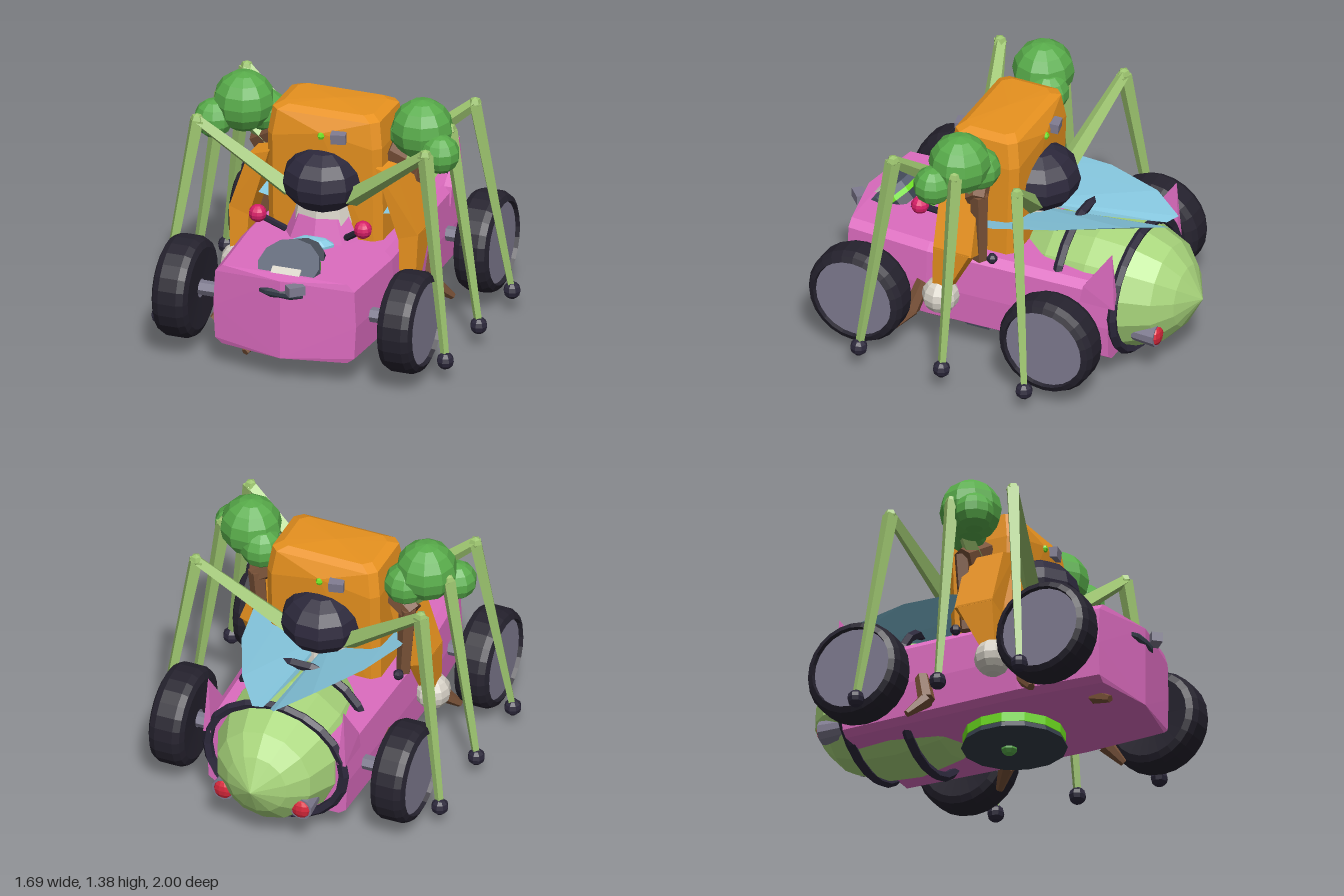
import * as THREE from 'three';
import { ConvexGeometry } from 'three/addons/geometries/ConvexGeometry.js';

const C = {
  pink: 0xdd6cc0, orange: 0xe8921f, green: 0x59ad4b, lime: 0xa9d67c, leg: 0x9dc56f, dark: 0x2c283b,
  tyre: 0x25222e, grey: 0x7f7b90, blue: 0x86c8e0, brown: 0x7a5238, white: 0xd6d1c6,
  magenta: 0xd81f68, red: 0xd8283c, neon: 0x6fe020, slate: 0x555d70, plate: 0x333b48,
};
const mats = {};
const mat = (c) => (mats[c] ??= new THREE.MeshStandardMaterial({ color: C[c], flatShading: true, side: THREE.DoubleSide }));
const V = (x, y, z) => new THREE.Vector3(x, y, z);

export function createModel() {
  const root = new THREE.Group();
  root.name = 'insectRacer';

  const add = (name, geo, color, pos = [0, 0, 0], rot = [0, 0, 0], scale = [1, 1, 1], parent = root) => {
    const m = new THREE.Mesh(geo, mat(color));
    m.name = name;
    m.position.set(...pos);
    m.rotation.set(...rot);
    m.scale.set(...scale);
    parent.add(m);
    return m;
  };
  const box = (w, h, d) => new THREE.BoxGeometry(w, h, d);
  const ball = (r, n = 10, k = 7) => new THREE.SphereGeometry(r, n, k);
  const disc = (r, h, n = 12, r2 = r) => new THREE.CylinderGeometry(r, r2, h, n);
  const hull = (name, pts, color) => add(name, new ConvexGeometry(pts.map((p) => V(...p))), color);

  // Tapered straight piece from a to b
  const limb = (name, a, b, ra, rb, color, sides = 4) => {
    const A = V(...a), B = V(...b), d = B.clone().sub(A);
    const m = add(name, new THREE.CylinderGeometry(rb, ra, d.length(), sides), color);
    m.position.copy(A).add(B).multiplyScalar(0.5);
    m.quaternion.setFromUnitVectors(V(0, 1, 0), d.normalize());
    return m;
  };

  // Chassis: octagonal sections [z, half-width, grow], plus a pointed nose
  const body = [];
  for (const [z, w] of [[0.87, 0.40], [0.4, 0.43], [-0.64, 0.40]])
    for (const s of [-1, 1])
      body.push([s * (w - 0.05), 0.61, z], [s * (w - 0.01), 0.57, z], [s * w, 0.37, z], [s * (w - 0.01), 0.19, z], [s * (w - 0.05), 0.16, z]);
  body.push([0, 0.6, 0.94], [0, 0.16, 0.94]);
  hull('chassis', body, 'pink');

  // Abdomen turned along z, with two hoops
  const abdomen = [[0, 0.05], [0.2, 0], [0.31, -0.2], [0.355, -0.45], [0.34, -0.65], [0.27, -0.82], [0.17, -0.91], [0, -1]]
    .map(([r, z]) => new THREE.Vector2(r, -z));
  add('abdomen', new THREE.LatheGeometry(abdomen, 14), 'lime', [0, 0.425, 0], [-Math.PI / 2, 0, 0]);
  add('rearHoop', new THREE.TorusGeometry(0.36, 0.027, 5, 22), 'dark', [0, 0.425, -0.66], [0, 0, 0], [1.08, 0.94, 1]);
  add('frontHoop', new THREE.TorusGeometry(0.38, 0.027, 5, 22), 'dark', [0, 0.425, -0.32]);

  // Tower with a tapered, slightly domed cap
  const tower = [];
  for (const [y, w, f, b] of [[0.55, 0.32, 0.31, -0.05], [1.14, 0.32, 0.33, -0.07], [1.28, 0.3, 0.31, -0.05], [1.305, 0.25, 0.27, -0.01]])
    for (const s of [-1, 1])
      tower.push([s * w, y, f - 0.04], [s * w, y, b + 0.04], [s * (w - 0.04), y, f], [s * (w - 0.04), y, b]);
  tower.push([0, 1.2, 0.35], [0, 1.2, -0.09], [0, 1.315, 0.13]);
  hull('tower', tower, 'orange');

  // Both tower faces: dark dome, collar, light and gauge box
  for (const f of [1, -1]) {
    const face = new THREE.Group();
    face.name = f > 0 ? 'frontFace' : 'rearFace';
    face.position.z = 0.13;
    face.rotation.y = f > 0 ? 0 : Math.PI;
    root.add(face);
    add('dome', ball(0.22, 10, 8), 'dark', [0, 0.93, 0.18], [0, 0, 0], [1, 0.8, 1], face);
    add('collar', disc(0.15, 0.13, 8, 0.18), 'white', [0, 0.77, 0.16], [0, 0, 0], [1, 1, 0.75], face);
    add('faceLight', ball(0.022, 6, 4), 'neon', [0, 1.185, 0.215], [0, 0, 0], [1, 1, 1], face);
    add('gauge', box(0.08, 0.055, 0.07), 'grey', [0.1, 1.195, 0.215], [0.1, 0.2, 0], [1, 1, 1], face);
  }
  add('seat', disc(0.15, 0.14, 8, 0.21), 'pink', [0, 0.67, 0.33], [0, 0, 0], [1, 1, 0.6]);
  add('windscreen', ball(0.12, 8, 5), 'blue', [0, 0.61, 0.45], [0, 0, 0], [1, 0.35, 0.6]);

  // Tilted hood stack: layered slate and glowing discs
  const hood = new THREE.Group();
  hood.name = 'hoodStack';
  hood.position.set(0, 0.6, 0.78);
  hood.rotation.x = 0.7;
  root.add(hood);
  [[0.17, 0.04, 0.035, 'slate'], [0.165, 0.03, 0, 'neon'], [0.155, 0.05, -0.04, 'plate']]
    .forEach(([r, h, y, c]) => add('hoodDisc', disc(r, h), c, [0, y, 0], [0, 0, 0], [1, 1, 0.92], hood));
  add('hoodLabelPlate', box(0.16, 0.02, 0.1), 'white', [0, 0.055, 0.07], [0, 0, 0], [1, 1, 1], hood);
  add('rearHoodDisc', disc(0.13, 0.04), 'plate', [0, 0.59, 0.63], [0.6, 0, 0]);
  add('rearHoodGlow', disc(0.11, 0.04), 'neon', [0, 0.59, 0.6], [0.6, 0, 0]);
  add('noseVent', ball(0.13, 8, 5), 'plate', [0, 0.525, 0.92], [0, 0, 0], [1, 0.25, 0.2]);
  add('noseBox', box(0.09, 0.05, 0.06), 'grey', [0.09, 0.57, 0.95], [0, 0.75, 0]);

  // Underside disc
  add('bellyGlow', disc(0.27, 0.05, 14), 'neon', [0, 0.135, 0.17]);
  add('bellyPlate', disc(0.26, 0.045, 14, 0.28), 'plate', [0, 0.1, 0.17]);
  add('bellyLamp', ball(0.045, 8, 5), 'green', [0, 0.08, 0.14], [0, 0, 0], [1, 0.9, 1]);
  limb('noseClaw', [-0.2, 0.17, 0.74], [-0.23, 0.12, 0.85], 0.04, 0.02, 'brown', 5);

  // Tyre profile: radius, offset along the axle
  const tyreProfile = [[0.05, -0.09], [0.22, -0.1], [0.255, -0.085], [0.272, -0.05], [0.272, 0.05], [0.255, 0.085], [0.225, 0.1], [0.215, 0.06]]
    .map(([r, a]) => new THREE.Vector2(r, a));
  const tyreGeo = new THREE.LatheGeometry(tyreProfile, 24);

  for (const s of [-1, 1]) {
    // Wheels and axles
    for (const z of [0.685, -0.42]) {
      const wheel = new THREE.Group();
      wheel.name = 'wheel';
      wheel.position.set(s * 0.63, 0.368, z);
      wheel.rotation.z = -s * Math.PI / 2;
      root.add(wheel);
      add('tyre', tyreGeo, 'tyre', [0, 0, 0], [0, 0, 0], [1, 1, 1], wheel);
      add('hub', disc(0.222, 0.13, 24), 'grey', [0, 0.012, 0], [0, 0, 0], [1, 1, 1], wheel);
      limb('axle', [s * 0.35, 0.368, z - 0.01], [s * 0.56, 0.368, z - 0.01], 0.04, 0.04, 'grey', 6);
    }

    // Three jointed legs: hip, knee, foot
    [[[0.17, 0.86, 0.36], 0.49, 0.61], [[0.36, 1.0, 0.13], 0.13, 0.13], [[0.17, 0.86, -0.1], -0.23, -0.35]].forEach(([hip, kz, fz]) => {
      const knee = [s * 0.64, 1.235, kz], foot = [s * 0.8, 0.14, fz];
      limb('upperLeg', [s * hip[0], hip[1], hip[2]], knee, 0.052, 0.032, 'leg');
      add('knee', ball(0.036, 5, 4), 'leg', knee);
      limb('lowerLeg', knee, foot, 0.042, 0.022, 'leg');
      add('foot', ball(0.047, 8, 6), 'dark', foot);
    });

    // Shoulder foliage clusters
    add('bush', ball(0.165, 10, 8), 'green', [s * 0.5, 1.235, 0.17]);
    add('outerBush', ball(0.105, 10, 7), 'green', [s * 0.635, 1.15, 0.26]);
    add('innerBush', ball(0.115, 10, 7), 'green', [s * 0.41, 1.17, 0.1]);

    // Arm with round fist
    limb('shoulder', [s * 0.3, 1.08, 0.15], [s * 0.45, 0.99, 0.1], 0.07, 0.06, 'brown', 6);
    limb('brownStrut', [s * 0.43, 1.02, 0.09], [s * 0.4, 0.6, 0.1], 0.05, 0.04, 'brown', 5);
    hull('upperArm', [0.11, 0.33].flatMap((z) => [[s * 0.3, 1.04, z], [s * 0.42, 1.0, z - 0.01], [s * 0.53, 0.68, z - 0.02], [s * 0.42, 0.64, z - 0.02]]), 'orange');
    hull('forearm', [[s * 0.53, 0.69, 0.1], [s * 0.53, 0.69, 0.31], [s * 0.42, 0.66, 0.1], [s * 0.42, 0.66, 0.31],
      [s * 0.52, 0.44, 0.23], [s * 0.52, 0.44, 0.32], [s * 0.43, 0.42, 0.23], [s * 0.43, 0.42, 0.32]], 'orange');
    add('fist', ball(0.1, 10, 8), 'white', [s * 0.48, 0.37, 0.29]);

    // Curved claws low on the flanks
    for (const z of [0.45, -0.13]) {
      const mid = [s * 0.46, 0.22, z + 0.02], end = [s * 0.53, 0.13, z + (z > 0 ? 0.09 : -0.06)];
      limb('clawBase', [s * 0.41, 0.38, z - 0.03], mid, 0.04, 0.045, 'brown', 6);
      limb('clawTip', mid, end, 0.045, 0.02, 'brown', 6);
    }

    // Wing: thin ridged blade, rising outward
    const wing = [[0.02, 0.74, 0.05], [0.3, 0.76, 0.28], [0.38, 0.77, 0.27], [0.42, 0.82, 0.02], [0.35, 0.86, -0.3],
      [0.2, 0.885, -0.64], [0.06, 0.86, -0.83], [0.02, 0.83, -0.78], [0.01, 0.76, -0.35]].map(([x, y, z]) => [s * x, y, z]);
    hull('wing', [...wing, [s * 0.2, 0.77, -0.2]], 'blue');

    // Tail fins, tail lights, antennae and side knobs
    hull('tailFin', [0.36, 0.405].flatMap((x) => [[s * x, 0.5, -0.48], [s * x, 0.5, -0.68], [s * x, 0.6, -0.5], [s * 0.385, 0.83, -0.66]]), 'pink');
    add('lampCase', disc(0.065, 0.13, 10, 0.055), 'grey', [s * 0.22, 0.285, -0.78], [-Math.PI / 2, 0, 0]);
    add('tailLamp', ball(0.055, 10, 6), 'red', [s * 0.22, 0.285, -0.84], [0, 0, 0], [1, 1, 0.5]);
    limb('antenna', [s * 0.17, 0.66, 0.42], [s * 0.29, 0.755, 0.5], 0.018, 0.018, 'dark', 6);
    add('antennaTip', ball(0.048, 10, 8), 'magenta', [s * 0.295, 0.76, 0.5]);
    add('sideKnob', ball(0.03, 6, 5), 'dark', [s * 0.4, 0.62, 0.03]);
  }
  return root;
}
